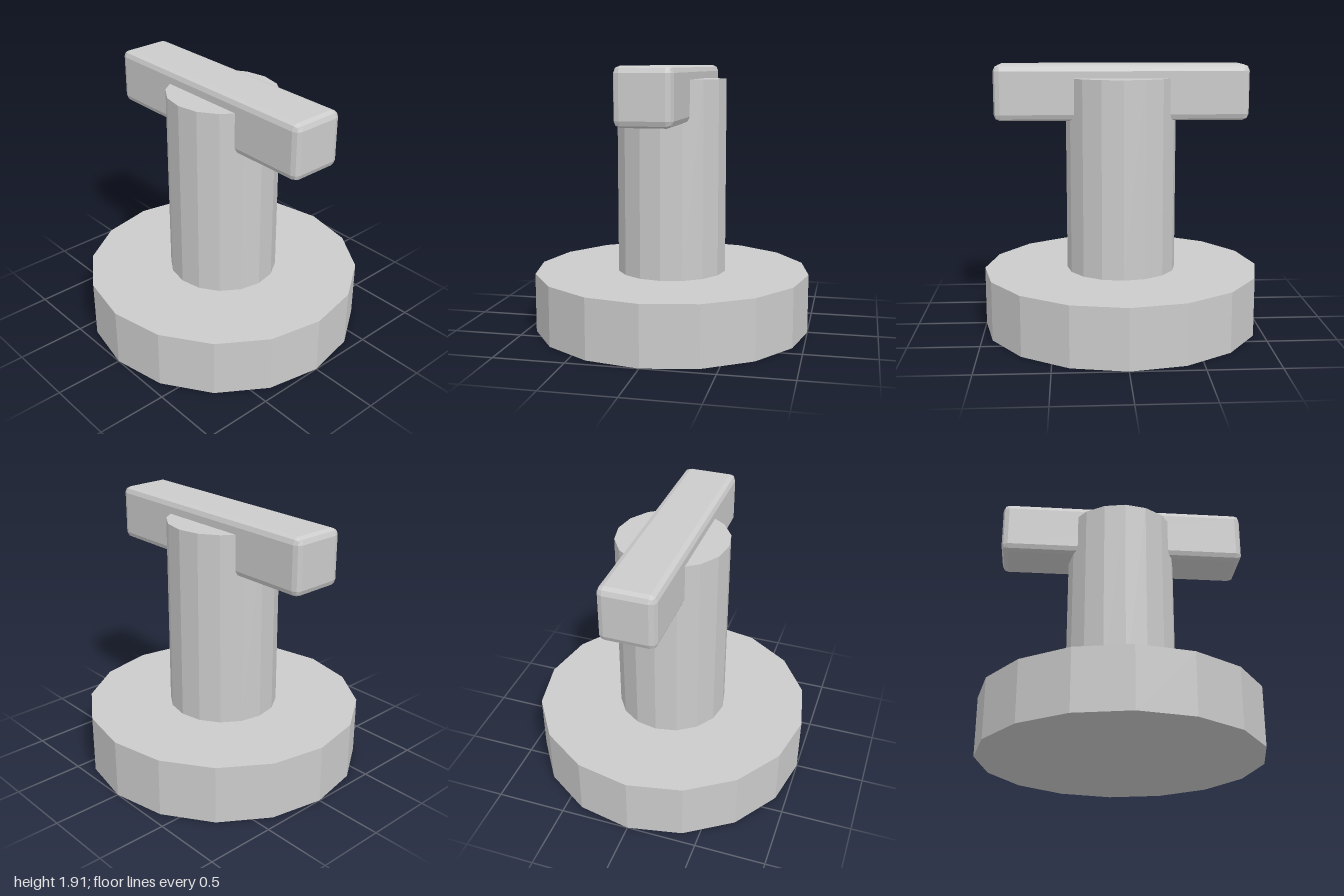
import * as THREE from 'three';

const material = new THREE.MeshStandardMaterial({ color: 0xcccccc, flatShading: true });

function part(name, geometry, y) {
  const mesh = new THREE.Mesh(geometry, material);
  mesh.name = name;
  mesh.position.y = y;
  return mesh;
}

// Box whose edges are rounded by two flat facets: the outer vertex rings are
// placed on a small sphere around each inner corner.
function bevelledBox(width, height, depth, r) {
  const geometry = new THREE.BoxGeometry(1, 1, 1, 3, 3, 3);
  const pos = geometry.attributes.position;
  const inner = new THREE.Vector3(width / 2 - r, height / 2 - r, depth / 2 - r);
  const p = new THREE.Vector3();
  const dir = new THREE.Vector3();
  const outer = (v) => (Math.abs(v) > 0.4 ? Math.sign(v) : 0);
  for (let i = 0; i < pos.count; i++) {
    p.fromBufferAttribute(pos, i);
    dir.set(outer(p.x), outer(p.y), outer(p.z)).normalize().multiplyScalar(r);
    p.set(Math.sign(p.x), Math.sign(p.y), Math.sign(p.z)).multiply(inner).add(dir);
    pos.setXYZ(i, p.x, p.y, p.z);
  }
  geometry.computeVertexNormals();
  return geometry;
}

export function createModel() {
  const group = new THREE.Group();
  group.name = 'tapHandle';

  // Round base, stem and cross bar
  group.add(part('base', new THREE.CylinderGeometry(1, 1, 0.425, 16), 0.2125));
  group.add(part('stem', new THREE.CylinderGeometry(0.395, 0.395, 1.39, 16), 1.12));
  group.add(part('crossBar', bevelledBox(1.79, 0.39, 0.39, 0.045), 1.715));
  return group;
}
